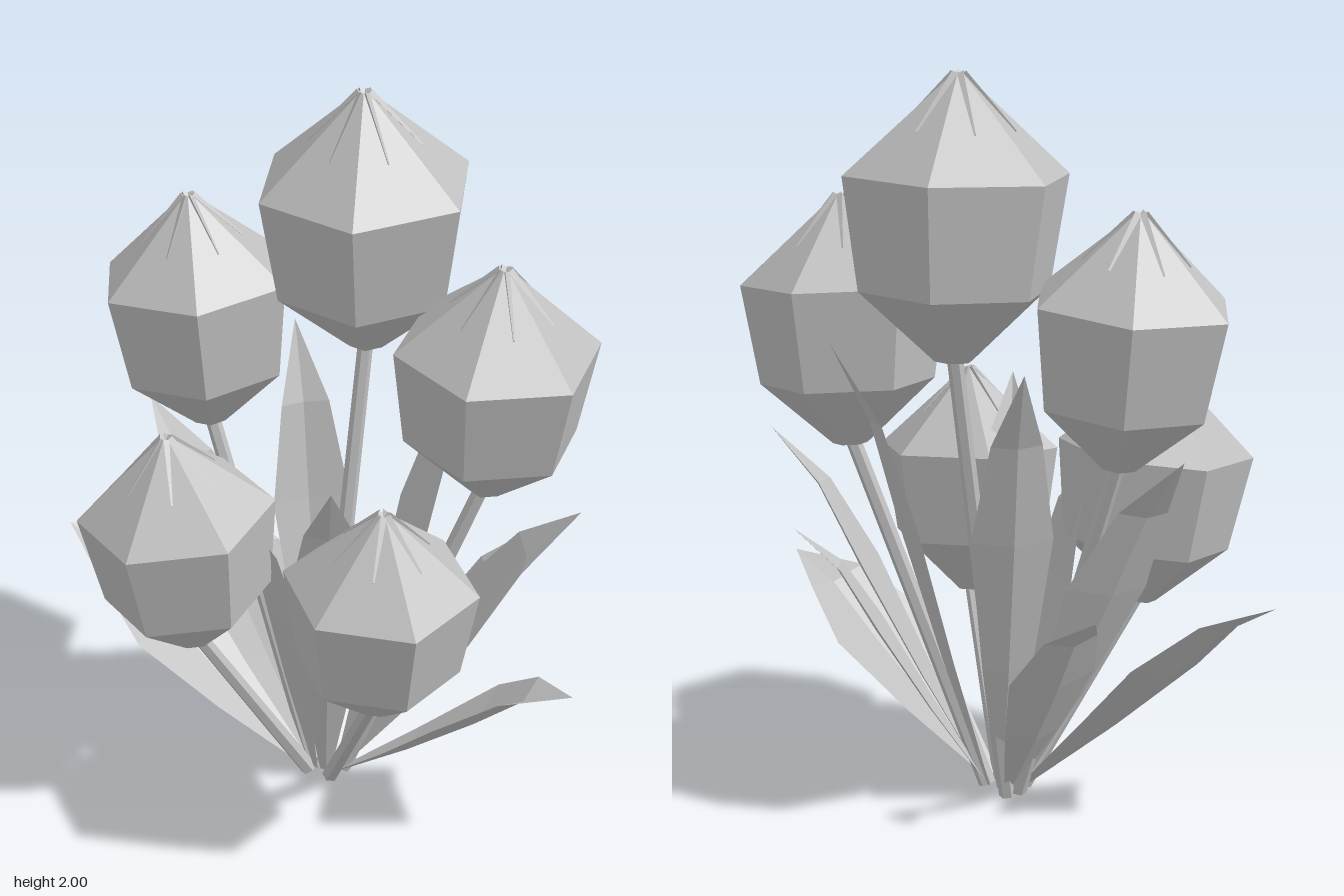
import * as THREE from 'three';

const UP = new THREE.Vector3(0, 1, 0);
const V = (p) => new THREE.Vector3(...p);

export function createModel() {
  const model = new THREE.Group();
  model.name = 'tulipBunch';
  const grey = new THREE.MeshStandardMaterial({ color: 0xbfbfbf, flatShading: true, side: THREE.DoubleSide });
  grey.name = 'plain grey';

  const add = (parent, geometry, name) => {
    const mesh = new THREE.Mesh(geometry, grey);
    mesh.name = name;
    parent.add(mesh);
    return mesh;
  };

  // Tapered rod between two points
  const rod = (parent, a, b, rA, rB, sides, name) => {
    const d = b.clone().sub(a);
    const mesh = add(parent, new THREE.CylinderGeometry(rB, rA, d.length(), sides), name);
    mesh.position.copy(a).addScaledVector(d, 0.5);
    mesh.quaternion.setFromUnitVectors(UP, d.normalize());
  };

  // Six-sided closed bloom with small petal folds at the tip, on a straight stem
  const flower = ({ root, base, tip, r, turn }) => {
    const group = new THREE.Group();
    group.name = 'flower';
    model.add(group);
    const a = V(base), axis = V(tip).sub(a), h = axis.length();

    const bloom = new THREE.Group();
    bloom.name = 'bloom';
    bloom.position.copy(a);
    bloom.quaternion.setFromUnitVectors(UP, axis.normalize());
    bloom.rotateY(THREE.MathUtils.degToRad(turn));
    group.add(bloom);

    const profile = [[0, 0], [0.17, 0], [0.85, 0.25], [1, 0.645], [0.045, 0.99], [0, 0.975]]
      .map(([x, y]) => new THREE.Vector2(x * r, y * h));
    add(bloom, new THREE.LatheGeometry(profile, 6), 'petals');

    for (let i = 0; i < 6; i++) {
      const t = (i + 0.5) * Math.PI / 3;
      const at = (k, y) => new THREE.Vector3(Math.sin(t) * k * r, y * h, Math.cos(t) * k * r);
      rod(bloom, at(0.5, 0.8), at(0.045, 0.99), 0.003, 0.01, 3, 'petalFold');
    }
    rod(group, V(root), a.clone().addScaledVector(axis, 0.03), 0.024, 0.021, 6, 'stem');
  };

  // Folded blade: midrib along the chord, side edges raised, tip arching outwards
  const leaf = ({ root, tip, w, fold = 0.3, bow = 0.03, roll = 0 }) => {
    const a = V(root), chord = V(tip).sub(a);
    const dir = chord.clone().normalize();
    const side = dir.clone().cross(UP).normalize().applyAxisAngle(dir, roll);
    const lift = side.clone().cross(dir);
    const rows = [[0, 0.14, 0], [0.3, 0.62, 0], [0.6, 1, 0.4], [0.82, 0.62, 1], [1, 0, 0]];
    const pos = [], index = [];
    rows.forEach(([t, k, b], i) => {
      for (const s of [-1, 0, 1]) {
        const p = a.clone().addScaledVector(chord, t)
          .addScaledVector(side, s * k * w)
          .addScaledVector(lift, b * bow + Math.abs(s) * k * w * fold);
        pos.push(p.x, p.y, p.z);
      }
      if (i === 0) return;
      for (const j of [0, 1]) {
        const n = i * 3 + j, m = n - 3;
        index.push(m, m + 1, n + 1, m, n + 1, n);
      }
    });
    const g = new THREE.BufferGeometry();
    g.setAttribute('position', new THREE.Float32BufferAttribute(pos, 3));
    g.setIndex(index);
    g.computeVertexNormals();
    add(model, g, 'leaf');
  };

  [
    { root: [-0.03, 0.0, -0.08], base: [0.005, 1.26, -0.28], tip: [0.01, 2.0, -0.24], r: 0.3, turn: 20 },
    { root: [-0.05, 0.01, -0.06], base: [-0.4, 1.0, -0.13], tip: [-0.45, 1.67, -0.12], r: 0.272, turn: 30 },
    { root: [0.05, 0.01, -0.06], base: [0.41, 0.96, -0.18], tip: [0.46, 1.635, -0.14], r: 0.276, turn: 7 },
    { root: [-0.035, 0.01, -0.01], base: [-0.26, 0.52, 0.23], tip: [-0.295, 1.175, 0.295], r: 0.265, turn: 0 },
    { root: [0.035, 0.01, -0.01], base: [0.285, 0.46, 0.22], tip: [0.325, 1.095, 0.27], r: 0.258, turn: -14 },
  ].forEach(flower);

  [
    // Low side leaves
    { root: [-0.06, 0.02, -0.03], tip: [-0.78, 0.645, 0.025], w: 0.155, fold: 0.2, roll: -0.28 },
    { root: [0.06, 0.02, -0.03], tip: [0.775, 0.535, 0.045], w: 0.165, roll: -0.1 },
    // Tall side leaves
    { root: [0.05, 0.02, -0.07], tip: [0.69, 0.965, -0.17], w: 0.135, fold: 0.25, roll: 0.35 },
    { root: [-0.05, 0.02, -0.06], tip: [-0.58, 1.035, -0.11], w: 0.13, fold: 0.25, roll: -0.35 },
    // Front leaves
    { root: [0.02, 0.02, -0.01], tip: [0.17, 1.1, 0.26], w: 0.11 },
    { root: [-0.02, 0.02, -0.01], tip: [-0.16, 0.95, 0.19], w: 0.12 },
    // Tall back leaves
    { root: [-0.02, 0.02, -0.09], tip: [-0.235, 1.26, -0.32], w: 0.11 },
    { root: [0.03, 0.02, -0.09], tip: [0.325, 1.285, -0.38], w: 0.11 },
    // Short back leaves
    { root: [-0.04, 0.02, -0.08], tip: [-0.43, 0.63, -0.29], w: 0.13 },
    { root: [0.04, 0.02, -0.08], tip: [0.475, 0.755, -0.36], w: 0.075 },
  ].forEach(leaf);

  return model;
}
